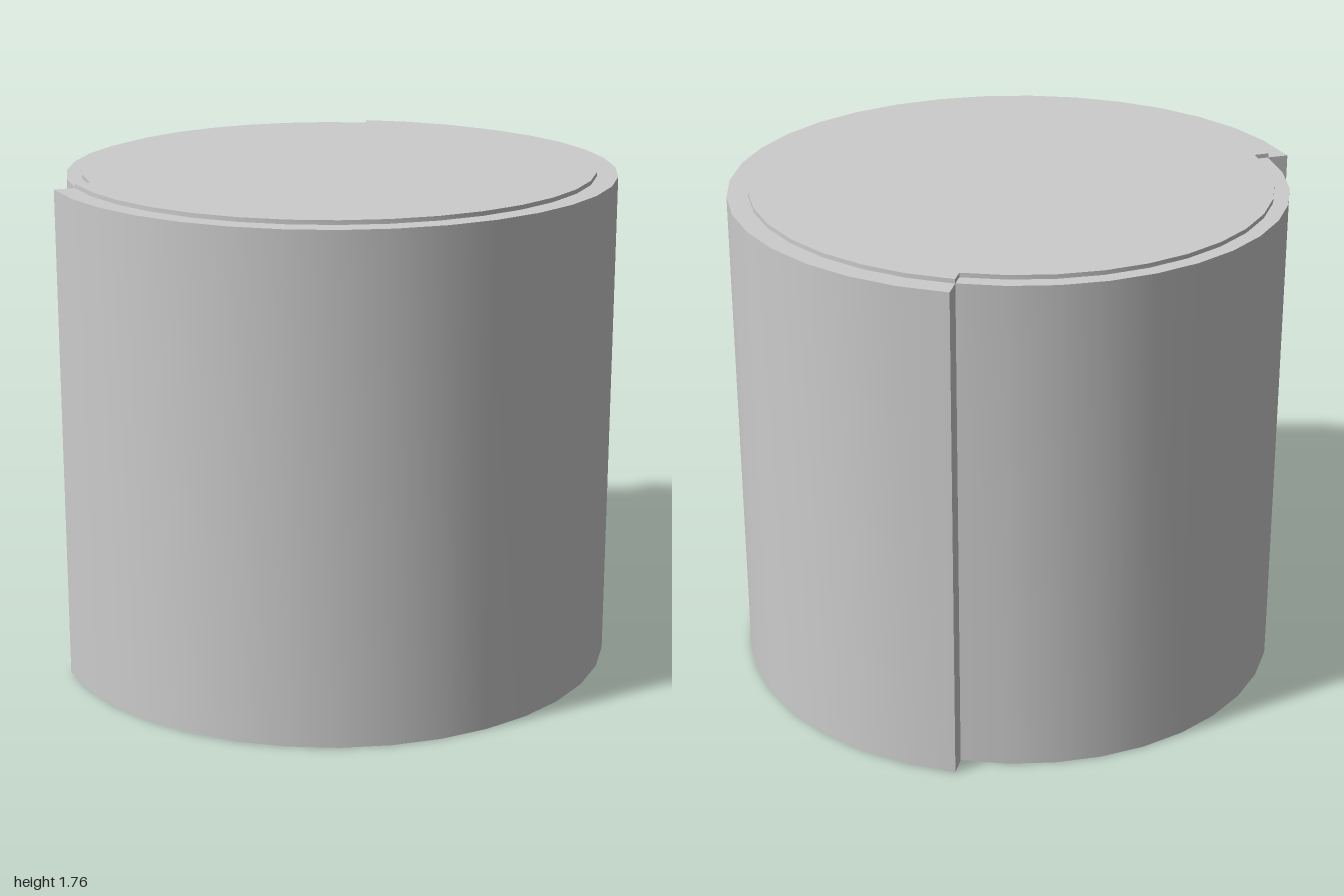
import * as THREE from 'three';
import { toCreasedNormals } from 'three/addons/utils/BufferGeometryUtils.js';

const STEP = 10; // degrees per side
const CENTRE_Z = -0.0375;

// Round outline with a smaller radius over the 120 degree arc at the back
function steppedOutline(frontRadius, backRadius) {
  const points = [];
  const arc = (radius, from, to) => {
    for (let deg = from; deg <= to; deg += STEP) {
      const a = THREE.MathUtils.degToRad(deg);
      points.push(new THREE.Vector2(radius * Math.cos(a), radius * Math.sin(a)));
    }
  };
  arc(backRadius, 30, 150);
  arc(frontRadius, 150, 390);
  return new THREE.Shape(points);
}

// Upright prism standing on height y
function prism(name, shape, y, height, material) {
  const extruded = new THREE.ExtrudeGeometry(shape, { depth: height, bevelEnabled: false });
  extruded.rotateX(-Math.PI / 2);
  const mesh = new THREE.Mesh(toCreasedNormals(extruded, Math.PI / 6), material);
  mesh.name = name;
  mesh.position.set(0, y, CENTRE_Z);
  return mesh;
}

export function createModel() {
  const model = new THREE.Group();
  model.name = 'steppedDrum';
  const material = new THREE.MeshStandardMaterial({ color: 0xcccccc });

  // Main body with the recessed back
  model.add(prism('body', steppedOutline(1, 0.925), 0, 1.75, material));
  // Thin raised plate on top, following the same step
  model.add(prism('topPlate', steppedOutline(0.927, 0.873), 1.75, 0.015, material));
  return model;
}
